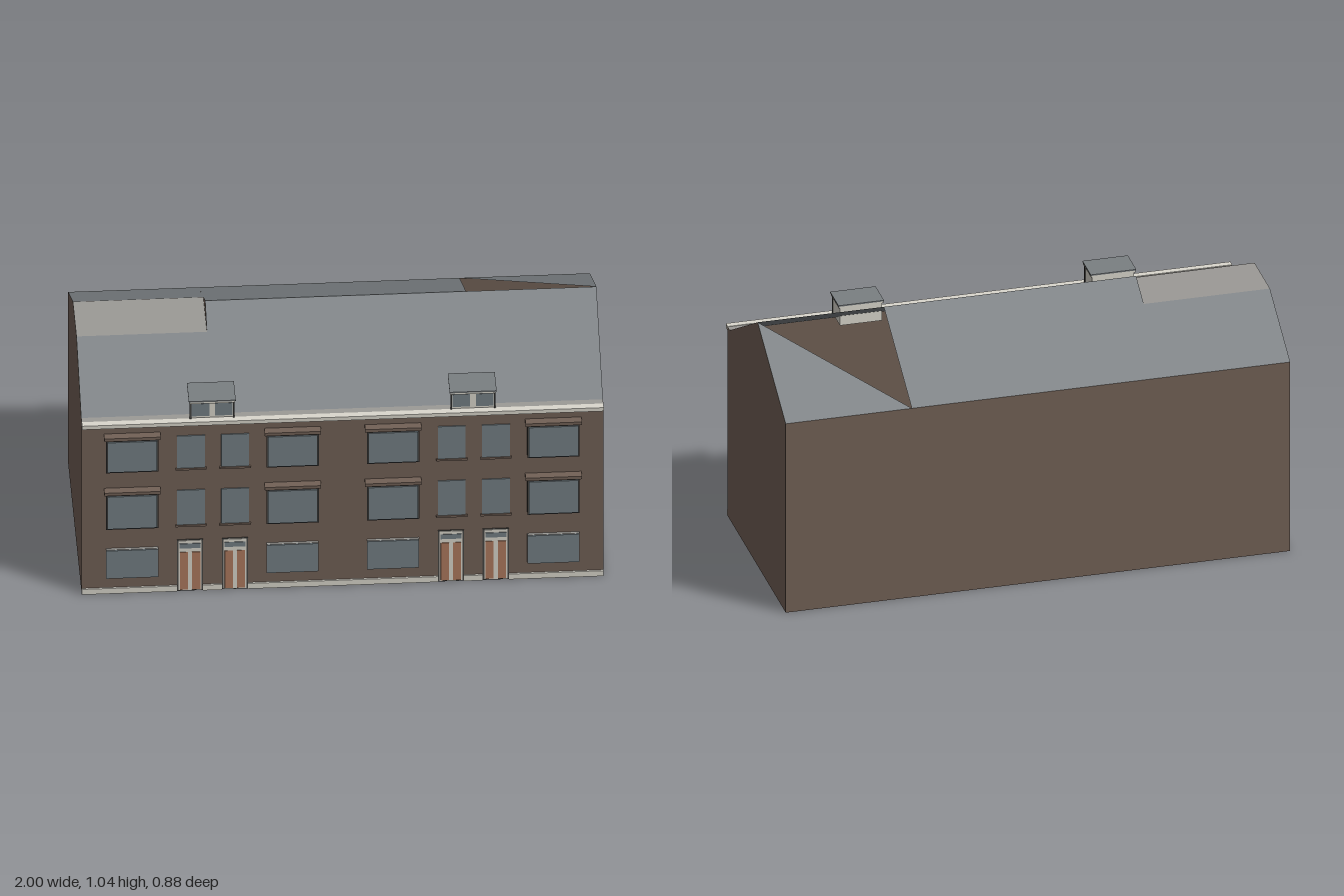
import * as THREE from 'three';

const mat = (name, color, side = THREE.FrontSide) => {
  const m = new THREE.MeshStandardMaterial({ color, side });
  m.name = name;
  return m;
};

export function createModel() {
  const brick = mat('brick', 0x726156, THREE.DoubleSide);
  const slate = mat('slate', 0x7a7f82, THREE.DoubleSide);
  const lead = mat('flat roof grey', 0x9c9a96, THREE.DoubleSide);
  const stone = mat('pale stone', 0xdad7cd);
  const glass = mat('window glass', 0x747f85);
  const dark = mat('dark frame', 0x454442);
  const wood = mat('door wood', 0xae7a5e);

  const model = new THREE.Group();
  model.name = 'terraceBuilding';

  // Flat convex panel from corner points, fanned from the first one
  const panel = (name, material, pts, parent = model) => {
    const pos = [];
    for (let i = 1; i < pts.length - 1; i++) pos.push(...pts[0], ...pts[i], ...pts[i + 1]);
    const g = new THREE.BufferGeometry();
    g.setAttribute('position', new THREE.Float32BufferAttribute(pos, 3));
    g.computeVertexNormals();
    const m = new THREE.Mesh(g, material);
    m.name = name;
    parent.add(m);
  };
  // Box given by its limits on each axis
  const box = (name, material, x0, x1, y0, y1, z0, z1, parent = model) => {
    const m = new THREE.Mesh(new THREE.BoxGeometry(x1 - x0, y1 - y0, z1 - z0), material);
    m.position.set((x0 + x1) / 2, (y0 + y1) / 2, (z0 + z1) / 2);
    m.name = name;
    parent.add(m);
  };

  // Key heights and depths
  const F = 0.41, B = -0.44, E = 0.81, R = 1.045, RZ = -0.03, FE = 0.38;
  const T = 0.98, TF = 0.083, TB = -0.143;

  // Walls and floor
  panel('frontWall', brick, [[-1, 0, F], [1, 0, F], [1, E, F], [-1, E, F]]);
  panel('backWall', brick, [[1, 0, B], [-1, 0, B], [-1, E, B], [1, E, B]]);
  panel('floor', brick, [[-1, 0, B], [1, 0, B], [1, 0, F], [-1, 0, F]]);
  panel('leftGable', brick, [[1, 0, F], [1, 0, B], [1, E, B], [1, R, RZ], [1, E, FE], [1, E, F]]);
  panel('rightGable', brick, [[-1, 0, B], [-1, 0, F], [-1, E, F], [-1, E, FE], [-1, T, TF], [-1, T, TB], [-1, E, B]]);

  // Roof: lowered flat top at one end, open triangle at the other
  panel('frontRoof', slate, [[-0.5, E, FE], [1, E, FE], [1, R, RZ], [-0.5, R, RZ]]);
  panel('frontRoofLow', slate, [[-1, E, FE], [-0.5, E, FE], [-0.5, T, TF], [-1, T, TF]]);
  panel('backRoof', slate, [[0.5, E, B], [-0.5, E, B], [-0.5, R, RZ], [0.5, R, RZ]]);
  panel('backRoofLow', slate, [[-0.5, E, B], [-1, E, B], [-1, T, TB], [-0.5, T, TB]]);
  panel('backRoofCorner', slate, [[1, E, B], [0.5, E, B], [1, R, RZ]]);
  panel('flatTop', lead, [[-1, T, TF], [-0.5, T, TF], [-0.5, T, TB], [-1, T, TB]]);
  panel('roofStep', brick, [[-0.5, T, TB], [-0.5, T, TF], [-0.5, R, RZ]]);
  panel('gutter', lead, [[-1, E, F], [1, E, F], [1, E, FE], [-1, E, FE]]);
  box('cornice', stone, -1, 1, 0.795, 0.812, F, 0.437);

  // Projecting window with hood
  const bayWindow = (x0, y0, y1, p) => {
    const x1 = x0 + 0.2;
    box('bayFrame', dark, x0, x1, y0, y1, F, 0.43, p);
    box('bayGlass', glass, x0 + 0.005, x1 - 0.005, y0 + 0.006, y1 - 0.005, 0.429, 0.435, p);
    box('bayHood', brick, x0 - 0.008, x1 + 0.008, y1 + 0.006, y1 + 0.02, F, 0.443, p);
  };
  const narrowWindow = (x0, y0, y1, p) => {
    box('narrowGlass', glass, x0, x0 + 0.107, y0, y1, F, 0.414, p);
    box('narrowSill', brick, x0 - 0.006, x0 + 0.113, y0 - 0.008, y0, F, 0.418, p);
  };
  const groundWindow = (x0, p) => {
    box('groundFrame', lead, x0, x0 + 0.2, 0.075, 0.21, F, 0.421, p);
    box('groundGlass', glass, x0 + 0.002, x0 + 0.198, 0.077, 0.208, 0.42, 0.425, p);
  };

  // Door with transom light and two wooden panels
  const door = (x0, p) => {
    const d = new THREE.Group();
    d.name = 'door';
    d.position.x = x0;
    p.add(d);
    box('doorSurround', dark, 0, 0.1, 0, 0.24, F, 0.414, d);
    box('doorFrame', stone, 0.006, 0.094, 0.005, 0.238, F, 0.417, d);
    box('transom', glass, 0.01, 0.09, 0.203, 0.225, F, 0.419, d);
    for (const x of [0.011, 0.058]) box('doorPanel', wood, x, x + 0.031, 0.008, 0.185, F, 0.419, d);
  };

  // Dormer with a flat top and a two-pane window
  const dormer = (p) => {
    const d = new THREE.Group();
    d.name = 'dormer';
    p.add(d);
    box('dormerBody', stone, -0.083, 0.083, 0.812, 0.892, 0.305, 0.408, d);
    box('dormerTop', slate, -0.09, 0.09, 0.895, 0.9, 0.3, 0.423, d);
    box('dormerFascia', stone, -0.088, 0.088, 0.887, 0.895, 0.302, 0.421, d);
    for (const s of [-1, 1]) {
      const c = s * 0.045;
      box('dormerPane', glass, c - 0.034, c + 0.034, 0.822, 0.88, 0.407, 0.412, d);
      box('dormerPost', dark, s * 0.083 - 0.003, s * 0.083 + 0.003, 0.812, 0.887, 0.405, 0.414, d);
    }
  };

  // Two identical houses side by side
  for (const cx of [-0.5, 0.5]) {
    const house = new THREE.Group();
    house.name = 'houseFront';
    house.position.x = cx;
    model.add(house);
    for (const [y0, y1] of [[0.58, 0.732], [0.312, 0.475]]) {
      for (const x of [-0.407, 0.208]) bayWindow(x, y0, y1, house);
      for (const x of [-0.135, 0.035]) narrowWindow(x, y0, y1, house);
    }
    for (const x of [-0.407, 0.208]) groundWindow(x, house);
    for (const x of [-0.135, 0.037]) door(x, house);
    for (const [a, b] of [[-0.5, -0.135], [-0.035, 0.037], [0.137, 0.5]])
      box('plinth', stone, a, b, 0, 0.025, F, 0.417, house);
    dormer(house);
  }
  return model;
}
